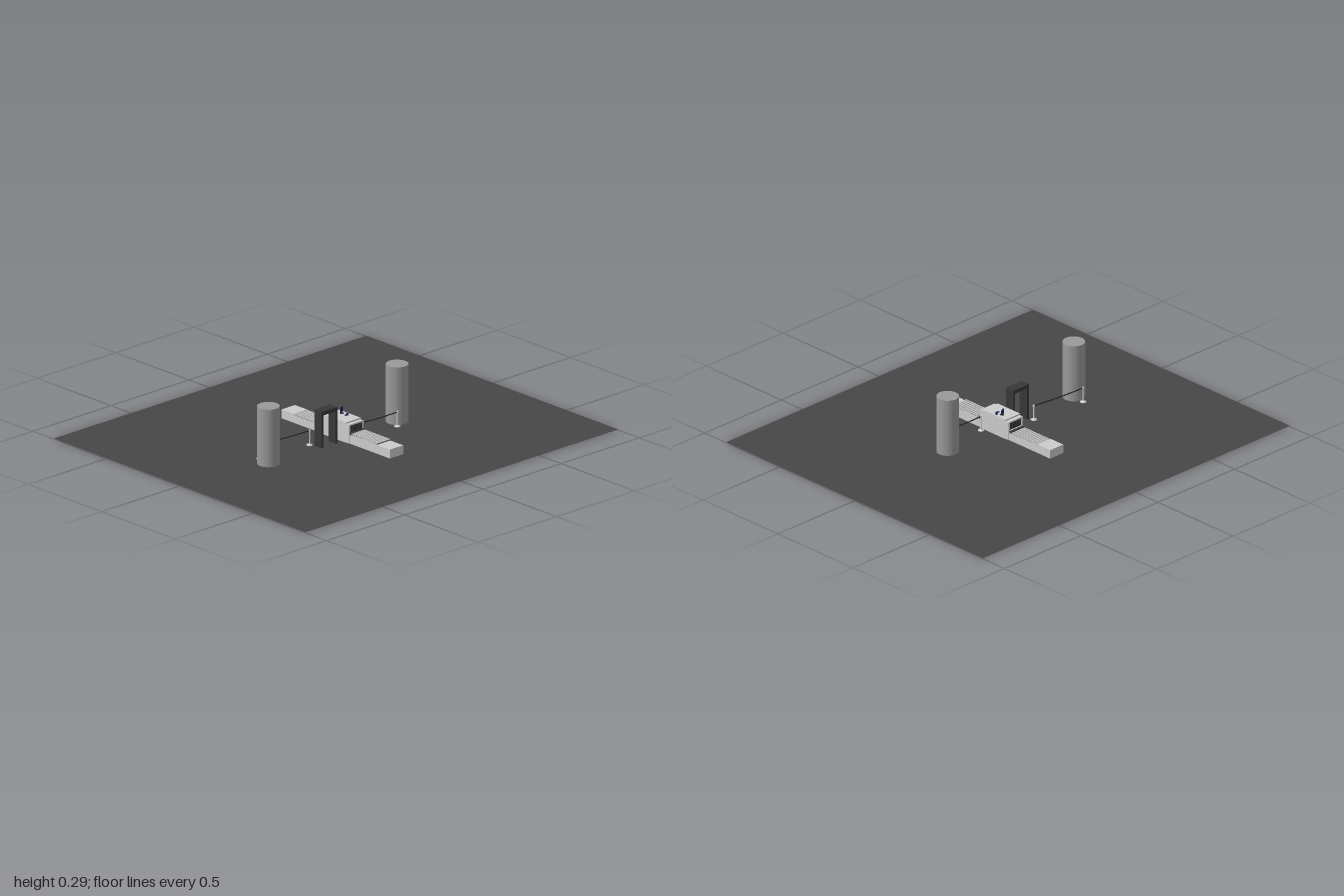
import * as THREE from 'three';

const material = (color, extra = {}) => new THREE.MeshStandardMaterial({ color, ...extra });

export function createModel() {
  const model = new THREE.Group();
  const grey = material(0xcccccc);
  const columnGrey = material(0x999999);
  const dark = material(0x383838);
  const navy = material(0x1a2260);
  const floorY = 0.003;

  const add = (parent, name, geometry, mat, x = 0, y = 0, z = 0) => {
    const mesh = new THREE.Mesh(geometry, mat);
    mesh.name = name;
    mesh.position.set(x, y, z);
    parent.add(mesh);
    return mesh;
  };
  // Box given by its lower and upper limits
  const box = (parent, name, mat, [x0, x1], [y0, y1], [z0, z1]) =>
    add(parent, name, new THREE.BoxGeometry(x1 - x0, y1 - y0, z1 - z0), mat,
      (x0 + x1) / 2, (y0 + y1) / 2, (z0 + z1) / 2);
  const group = (name) => {
    const g = new THREE.Group();
    g.name = name;
    model.add(g);
    return g;
  };

  // Floor sheet
  const floor = add(model, 'floor', new THREE.PlaneGeometry(2, 1.714),
    material(0x474747, { side: THREE.DoubleSide }), 0, floorY, 0);
  floor.rotation.x = -Math.PI / 2;

  // Two round columns
  for (const x of [-0.497, 0.326]) {
    add(model, 'column', new THREE.CylinderGeometry(0.053, 0.053, 0.286, 40),
      columnGrey, x, floorY + 0.143, 0.069);
  }

  // Walk-through detector arch: two side panels, a head box and feet
  const arch = group('detectorArch');
  for (const x of [-0.175, -0.085]) {
    box(arch, 'archSidePanel', dark, [x - 0.006, x + 0.006], [0, 0.168], [0.045, 0.095]);
  }
  box(arch, 'archHead', dark, [-0.181, -0.079], [0.165, 0.184], [0.045, 0.095]);

  // Conveyor: end tables and roller beds either side of the scanner
  const conveyor = group('conveyor');
  const width = [-0.043, 0.043];
  const beds = [
    { table: [-0.325, -0.24], bed: [-0.24, -0.05], top: 0.048 },
    { table: [0.325, 0.412], bed: [0.13, 0.325], top: 0.057 },
  ];
  for (const { table, bed, top } of beds) {
    box(conveyor, 'endTable', grey, width, [0.004, 0.048], table);
    box(conveyor, 'rollerBed', grey, width, [0.004, top - 0.007], bed);
    box(conveyor, 'rollerBedLining', dark, [-0.041, 0.041], [top - 0.007, top - 0.005], bed);
    const count = 14;
    const step = (bed[1] - bed[0]) / count;
    for (let i = 0; i < count; i++) {
      const roller = add(conveyor, 'roller', new THREE.CylinderGeometry(0.005, 0.005, 0.086, 12),
        grey, 0, top - 0.005, bed[0] + (i + 0.5) * step);
      roller.rotation.z = Math.PI / 2;
    }
  }

  // Scanner: body, a hollow hood at each end and hanging curtain strips
  const scanner = group('scanner');
  box(scanner, 'scannerBody', grey, [-0.048, 0.048], [0.004, 0.104], [-0.032, 0.118]);
  const hood = new THREE.Shape();
  hood.moveTo(-0.046, 0.004).lineTo(0.046, 0.004).lineTo(0.046, 0.097).lineTo(-0.046, 0.097).closePath();
  const opening = new THREE.Path();
  opening.moveTo(-0.038, 0.052).lineTo(-0.038, 0.09).lineTo(0.038, 0.09).lineTo(0.038, 0.052).closePath();
  hood.holes.push(opening);
  const hoodGeometry = new THREE.ExtrudeGeometry(hood, { depth: 0.02, bevelEnabled: false });
  for (const [hoodZ, curtainZ] of [[-0.052, -0.05], [0.118, 0.136]]) {
    add(scanner, 'tunnelHood', hoodGeometry, grey, 0, 0, hoodZ);
    for (let i = 0; i < 5; i++) {
      const x = -0.03 + i * 0.015;
      box(scanner, 'curtainStrip', dark, [x - 0.0065, x + 0.0065], [0.055, 0.09],
        [curtainZ - 0.001, curtainZ + 0.001]);
    }
    const sill = hoodZ < 0 ? [-0.066, -0.052] : [0.138, 0.152];
    const sillTop = hoodZ < 0 ? 0.05 : 0.059;
    box(scanner, 'tunnelSill', dark, width, [sillTop - 0.012, sillTop], sill);
  }

  // Operator's screen on a stand, with a keyboard and a pointer beside it
  const desk = group('operatorStation');
  add(desk, 'screenFoot', new THREE.CylinderGeometry(0.009, 0.009, 0.003, 20), dark, 0.022, 0.1055, 0.017);
  add(desk, 'screenStand', new THREE.CylinderGeometry(0.002, 0.002, 0.016, 10), dark, 0.022, 0.113, 0.014);
  const screen = add(desk, 'screen', new THREE.BoxGeometry(0.029, 0.024, 0.006), navy, 0.025, 0.122, 0.011);
  screen.rotation.y = 0.5;
  const keyboard = add(desk, 'keyboard', new THREE.BoxGeometry(0.024, 0.004, 0.011), navy, 0.031, 0.106, 0.044);
  keyboard.rotation.y = 0.9;
  box(desk, 'pointer', dark, [0.012, 0.018], [0.104, 0.108], [0.045, 0.054]);

  // Rope barriers: turned posts joined by a slightly sagging rope
  const postProfile = [
    [0, 0], [0.015, 0], [0.015, 0.003], [0.005, 0.007], [0.0035, 0.01], [0.0035, 0.068],
    [0.0055, 0.069], [0.0055, 0.075], [0.003, 0.078], [0, 0.078],
  ].map(([r, y]) => new THREE.Vector2(r, y));
  const postGeometry = new THREE.LatheGeometry(postProfile, 20);
  const ropes = [
    [[-0.487, -0.003], [-0.192, 0.024]],
    [[0.064, 0.115], [0.277, 0.123]],
  ];
  for (const [a, b] of ropes) {
    const barrier = group('ropeBarrier');
    for (const [x, z] of [a, b]) add(barrier, 'barrierPost', postGeometry, grey, x, floorY, z);
    const curve = new THREE.QuadraticBezierCurve3(
      new THREE.Vector3(a[0], 0.076, a[1]),
      new THREE.Vector3((a[0] + b[0]) / 2, 0.069, (a[1] + b[1]) / 2),
      new THREE.Vector3(b[0], 0.076, b[1]));
    add(barrier, 'rope', new THREE.TubeGeometry(curve, 24, 0.0028, 8), material(0x25252f));
  }

  return model;
}
